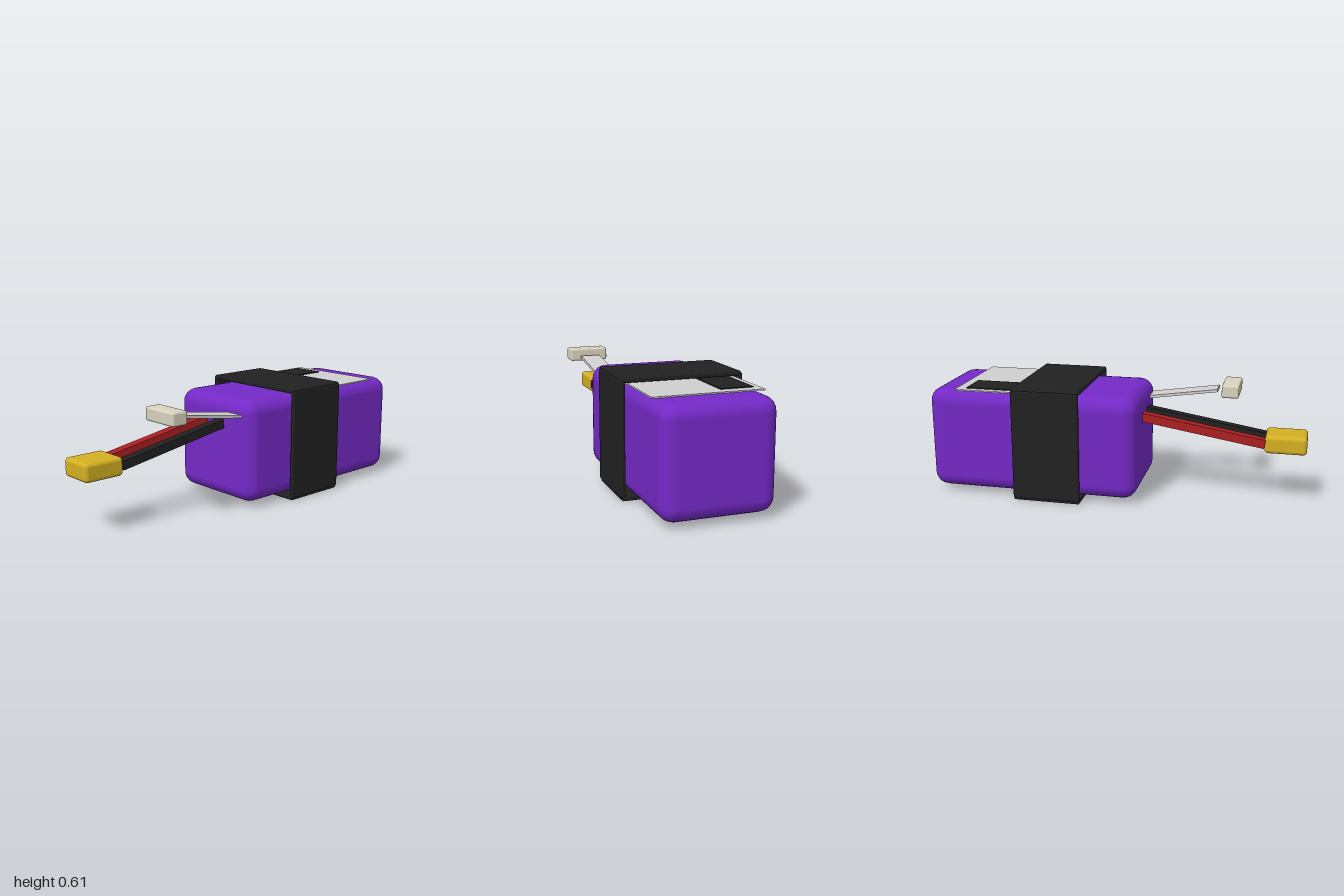
import * as THREE from 'three';
import { RoundedBoxGeometry } from 'three/addons/geometries/RoundedBoxGeometry.js';

const mat = (name, color) => Object.assign(new THREE.MeshStandardMaterial({ color }), { name });

export function createModel() {
  const purple = mat('purple wrap', 0x7429c6);
  const black = mat('black', 0x212121);
  const silver = mat('light grey', 0xcfcfcf);
  const red = mat('red', 0xac1f22);
  const yellow = mat('yellow', 0xd4b023);
  const ivory = mat('ivory', 0xd8d2bd);

  const model = new THREE.Group();
  model.name = 'batteryPack';

  // Boxes are given by their min and max on each axis; a radius rounds the edges
  function block(name, material, [x0, x1], [y0, y1], [z0, z1], radius = 0, segments = 2) {
    const size = [x1 - x0, y1 - y0, z1 - z0];
    const geometry = radius
      ? new RoundedBoxGeometry(...size, segments, radius)
      : new THREE.BoxGeometry(...size);
    const mesh = new THREE.Mesh(geometry, material);
    mesh.name = name;
    mesh.position.set((x0 + x1) / 2, (y0 + y1) / 2, (z0 + z1) / 2);
    model.add(mesh);
    return mesh;
  }

  // Straight lead of rectangular section between two points in a plane of constant x
  function lead(name, material, x, width, thickness, [yA, zA], [yB, zB]) {
    const length = Math.hypot(yB - yA, zB - zA);
    const mesh = new THREE.Mesh(new THREE.BoxGeometry(width, thickness, length), material);
    mesh.name = name;
    mesh.position.set(x, (yA + yB) / 2, (zA + zB) / 2);
    mesh.rotation.x = -Math.atan2(yB - yA, zB - zA);
    model.add(mesh);
  }

  // Cell pack
  block('body', purple, [-0.285, 0.285], [0.027, 0.578], [-1, 0.137], 0.075, 3);

  // Label with a dark patch, running under the strap
  block('label', silver, [-0.28, 0.28], [0.577, 0.584], [-0.84, -0.2]);
  block('labelPatch', black, [-0.245, -0.077], [0.583, 0.589], [-0.787, -0.45]);

  // Strap: four slabs standing clear of the pack
  const strapZ = [-0.52, -0.157];
  block('strapTop', black, [-0.313, 0.313], [0.588, 0.612], strapZ, 0.008);
  block('strapBottom', black, [-0.313, 0.313], [0, 0.026], strapZ, 0.008);
  for (const s of [-1, 1]) {
    const side = block('strapSide', black, [-0.012, 0.012], [0.015, 0.603], strapZ, 0.008);
    side.position.x = s * 0.307;
  }

  // Power leads and plug
  lead('redLead', red, -0.066, 0.052, 0.046, [0.445, 0.09], [0.331, 0.785]);
  lead('blackLead', black, 0.064, 0.052, 0.046, [0.445, 0.09], [0.331, 0.785]);
  block('powerPlug', yellow, [-0.094, 0.094], [0.283, 0.378], [0.783, 1], 0.02, 3);

  // Balance ribbon and plug
  lead('balanceRibbon', silver, 0.171, 0.111, 0.015, [0.491, 0.09], [0.553, 0.508]);
  block('balancePlug', ivory, [0.061, 0.28], [0.527, 0.598], [0.535, 0.627], 0.012, 3);

  return model;
}
